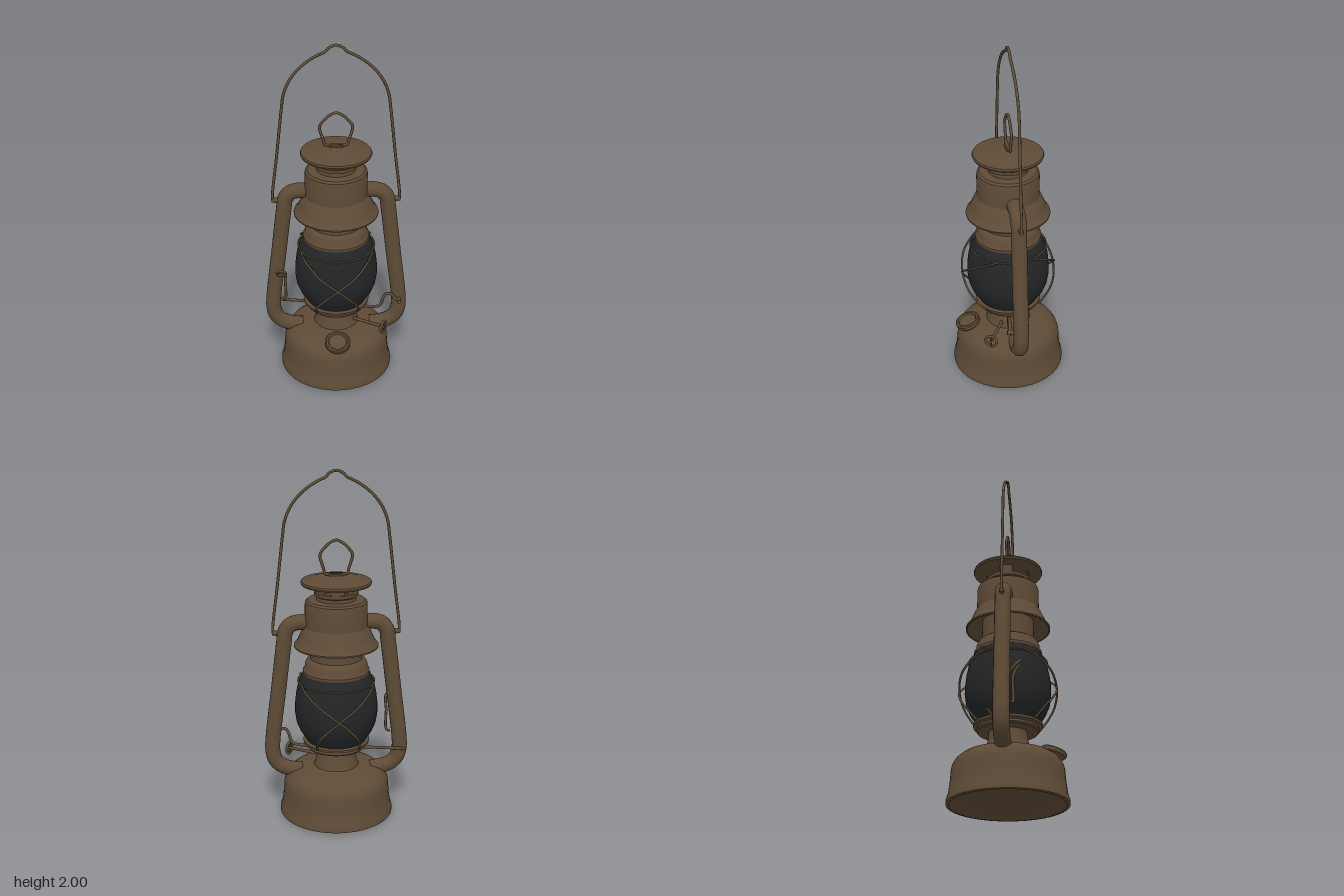
import * as THREE from 'three';
import { toCreasedNormals } from 'three/addons/utils/BufferGeometryUtils.js';

export function createModel() {
  const lantern = new THREE.Group();
  lantern.name = 'lantern';
  const metal = new THREE.MeshStandardMaterial({ color: 0x5e4b36, side: THREE.DoubleSide });
  metal.name = 'brown metal';
  const glass = new THREE.MeshStandardMaterial({ color: 0x232527, side: THREE.DoubleSide });
  glass.name = 'smoked glass';

  const add = (name, geometry, material = metal, parent = lantern) => {
    const mesh = new THREE.Mesh(geometry, material);
    mesh.name = name;
    parent.add(mesh);
    return mesh;
  };
  // Turned part from [radius, height] pairs
  const turn = (name, pts, material = metal, parent = lantern, segs = 48) =>
    add(name, toCreasedNormals(new THREE.LatheGeometry(pts.map(p => new THREE.Vector2(...p)), segs), 0.6), material, parent);
  // Bent wire or pipe through [x, y, z] points
  const bend = (name, pts, radius, { steps = 60, sides = 8, closed = false } = {}) => {
    const curve = new THREE.CatmullRomCurve3(pts.map(p => new THREE.Vector3(p[0], p[1], p[2] ?? 0)), closed, 'centripetal');
    return add(name, new THREE.TubeGeometry(curve, steps, radius, sides, closed));
  };

  // Fuel tank with rolled foot and shoulder
  turn('fuelTank', [[0, 0.015], [0.29, 0.01], [0.31, 0], [0.327, 0.003], [0.327, 0.025], [0.318, 0.045],
    [0.308, 0.12], [0.303, 0.19], [0.296, 0.215], [0.278, 0.243], [0.25, 0.265], [0.21, 0.278], [0.15, 0.283], [0, 0.283]]);

  // Burner neck and globe seat
  turn('burner', [[0.15, 0.28], [0.128, 0.29], [0.116, 0.33], [0.108, 0.36], [0.105, 0.4], [0.165, 0.403],
    [0.172, 0.412], [0.168, 0.425], [0.188, 0.432], [0.19, 0.446], [0.176, 0.45], [0, 0.45]]);

  // Glass globe
  turn('globe', [[0.165, 0.44], [0.182, 0.47], [0.208, 0.51], [0.228, 0.56], [0.237, 0.62], [0.236, 0.67],
    [0.229, 0.73], [0.216, 0.79], [0.2, 0.83], [0.184, 0.86]], glass);

  // Collar above the globe
  turn('globeCollar', [[0.17, 0.855], [0.188, 0.855], [0.189, 0.87], [0.178, 0.885], [0.176, 0.91], [0.165, 0.93],
    [0.146, 0.94], [0.144, 1.08]]);

  // Flared hood
  turn('hood', [[0.144, 1.06], [0.19, 1.05], [0.23, 1.012], [0.238, 1.012], [0.238, 1.02], [0.222, 1.035], [0.205, 1.075],
    [0.19, 1.11], [0.176, 1.13], [0.175, 1.255], [0.172, 1.27], [0.16, 1.28], [0.11, 1.282],
    [0.108, 1.3], [0.122, 1.308], [0.124, 1.328], [0.105, 1.33], [0.1, 1.29], [0, 1.29]]);

  // Four curved posts around the vent openings
  for (let i = 0; i < 4; i++) {
    add('ventPost', new THREE.CylinderGeometry(0.12, 0.12, 0.055, 6, 1, true, i * Math.PI / 2 - 0.32, 0.64))
      .position.y = 1.347;
  }

  // Chimney cap
  turn('chimneyCap', [[0, 1.37], [0.16, 1.37], [0.194, 1.368], [0.198, 1.378], [0.194, 1.388], [0.165, 1.392],
    [0.13, 1.402], [0.08, 1.412], [0, 1.416]]);
  const bracket = add('loopBracket', new THREE.BoxGeometry(0.075, 0.014, 0.03));
  bracket.position.y = 1.418;

  // Lifting loop on the cap
  bend('liftingLoop', [[-0.04, 1.422], [-0.062, 1.428], [-0.07, 1.455], [-0.09, 1.53], [-0.083, 1.548], [-0.04, 1.595],
    [0, 1.613], [0.04, 1.595], [0.083, 1.548], [0.09, 1.53], [0.07, 1.455], [0.062, 1.428], [0.04, 1.422]], 0.008, { closed: true, steps: 80 });

  // Side air pipes, with the ears that hold the bail
  for (const s of [-1, 1]) {
    bend('airPipe', [[0.15, 1.15], [0.21, 1.15], [0.255, 1.137], [0.284, 1.1], [0.293, 1.04], [0.33, 0.74], [0.366, 0.45],
      [0.368, 0.38], [0.352, 0.32], [0.31, 0.28], [0.26, 0.263], [0.2, 0.255]].map(([x, y]) => [s * x, y]), 0.044, { steps: 64, sides: 14 });
    const ear = add('bailEar', new THREE.CylinderGeometry(0.014, 0.014, 0.05, 10));
    ear.rotation.z = Math.PI / 2;
    ear.position.set(s * 0.335, 1.09, 0);
  }

  // Bail handle
  const half = [[0.33, 1.08], [0.352, 1.085], [0.355, 1.11], [0.325, 1.36], [0.292, 1.64], [0.28, 1.72], [0.25, 1.795],
    [0.2, 1.862], [0.14, 1.912], [0.085, 1.944], [0.058, 1.956], [0.035, 1.98]];
  bend('bailHandle', [...half.map(([x, y]) => [-x, y]), [0, 1.992], ...half.slice().reverse()], 0.008, { steps: 140 });

  // Guard wires crossing at the front and back of the globe
  const guard = [[1.1, 0.81, 0.226], [0.85, 0.785, 0.24], [0.4, 0.72, 0.262], [0, 0.645, 0.268],
    [-0.3, 0.57, 0.262], [-0.52, 0.5, 0.235], [-0.65, 0.44, 0.195]];
  for (const side of [0, Math.PI]) {
    for (const s of [-1, 1]) {
      bend('guardWire', guard.map(([a, y, r]) => [Math.sin(side + s * a) * r, y, Math.cos(side + s * a) * r]), 0.006, { sides: 6 });
    }
  }
  const guardRing = add('guardRing', new THREE.TorusGeometry(0.217, 0.005, 6, 48));
  guardRing.rotation.x = Math.PI / 2;
  guardRing.position.y = 0.805;

  // Globe lifting rod with its crank
  bend('liftRod', [[-0.4, 0.395, -0.068], [-0.34, 0.395, -0.055], [0, 0.395, 0], [0.235, 0.395, 0.045], [0.258, 0.412, 0.05],
    [0.275, 0.465, 0.052], [0.293, 0.49, 0.054], [0.32, 0.485, 0.056], [0.345, 0.455, 0.06], [0.37, 0.445, 0.065]], 0.009, { steps: 90 });
  const rodTip = add('rodTip', new THREE.CylinderGeometry(0.013, 0.013, 0.035, 8));
  rodTip.position.set(0.365, 0.445, 0.062);
  rodTip.rotation.x = Math.PI / 2;

  // Wire latch on the right pipe
  bend('latchWire', [[-0.315, 0.465, 0.04], [-0.298, 0.47, 0.055], [-0.295, 0.6, 0.055], [-0.292, 0.65, 0.07],
    [-0.3, 0.675, 0.095], [-0.325, 0.685, 0.1], [-0.34, 0.665, 0.08], [-0.335, 0.63, 0.05], [-0.31, 0.62, 0.04]], 0.008);

  // Wick adjuster: shaft and ring knob
  const wick = new THREE.Group();
  wick.name = 'wickAdjuster';
  wick.rotation.y = -0.52;
  wick.position.y = 0.325;
  lantern.add(wick);
  const shaft = add('wickShaft', new THREE.CylinderGeometry(0.009, 0.009, 0.24, 8), metal, wick);
  shaft.rotation.z = Math.PI / 2;
  shaft.position.x = 0.2;
  const knob = add('wickKnob', new THREE.TorusGeometry(0.034, 0.008, 8, 24), metal, wick);
  knob.rotation.y = Math.PI / 2;
  knob.position.x = 0.31;
  const spoke = add('wickSpoke', new THREE.CylinderGeometry(0.006, 0.006, 0.068, 6), metal, wick);
  spoke.position.x = 0.31;

  // Tilted filler cap
  const filler = new THREE.Group();
  filler.name = 'fillerCap';
  filler.position.set(0, 0.282, 0.243);
  filler.rotation.x = 0.33;
  lantern.add(filler);
  turn('fillerSpout', [[0.05, -0.06], [0.055, -0.03], [0.066, -0.012], [0.072, -0.008], [0.073, 0.012], [0.066, 0.018],
    [0.056, 0.018], [0.05, 0.01], [0, 0.012]], metal, filler, 28);

  return lantern;
}
